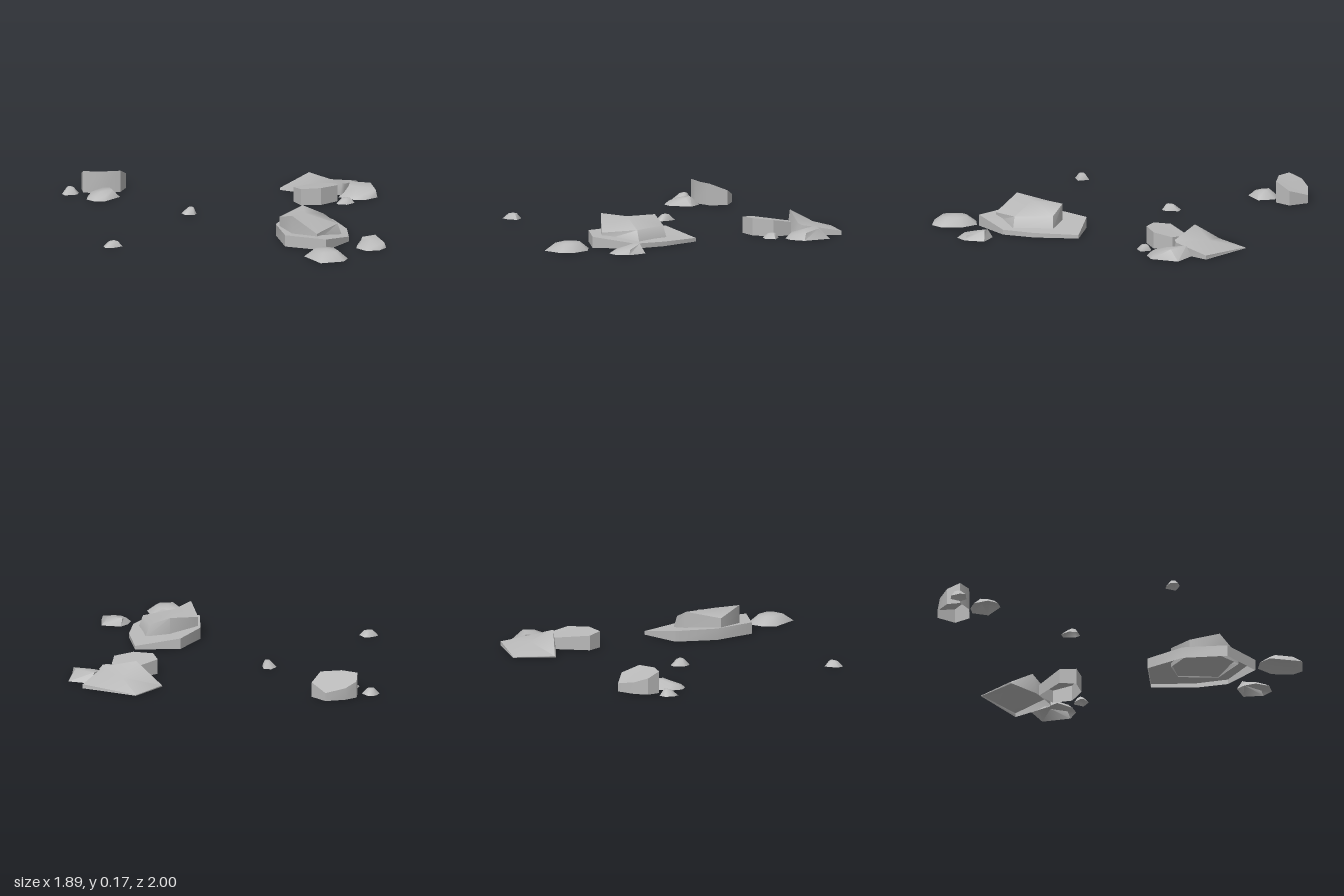
import * as THREE from 'three';
import { toCreasedNormals } from 'three/addons/utils/BufferGeometryUtils.js';

const stone = new THREE.MeshStandardMaterial({ color: 0xb9b9b9, side: THREE.DoubleSide });
stone.name = 'grey stone';

// Open-bottomed shell: a ring of walls from base [x, z] up to top [x, y, z], closed by a fan.
// Both rings run clockwise when seen from above; hub is the middle of the top fan.
function rock(name, base, top, hub, { floor = 0, crease = 1 } = {}) {
  const n = base.length;
  const pos = [];
  base.forEach(([x, z]) => pos.push(x, floor, z));
  top.forEach((p) => pos.push(...p));
  pos.push(...hub);
  const index = [];
  for (let i = 0; i < n; i++) {
    const j = (i + 1) % n;
    index.push(i, n + i, j, j, n + i, n + j);
    index.push(n + i, 2 * n, n + j);
  }
  const geo = new THREE.BufferGeometry();
  geo.setAttribute('position', new THREE.Float32BufferAttribute(pos, 3));
  geo.setIndex(index);
  const mesh = new THREE.Mesh(toCreasedNormals(geo, crease), stone);
  mesh.name = name;
  return mesh;
}

// Flat-topped rock: vertical walls with one height per corner
function slab(name, base, heights) {
  const top = base.map(([x, z], i) => [x, heights[i], z]);
  const hub = [0, 1, 2].map((k) => top.reduce((s, p) => s + p[k], 0) / top.length);
  return rock(name, base, top, hub, { crease: 0.6 });
}

// Rounded stone: the top ring shrinks toward an off-centre peak
function pebble(name, base, peak, shrink) {
  const [px, py, pz] = peak;
  const top = base.map(([x, z]) => [px + (x - px) * shrink, py * 0.85, pz + (z - pz) * shrink]);
  return rock(name, base, top, peak, { crease: 1.3 });
}

export function createModel() {
  const g = new THREE.Group();
  g.name = 'scatteredRocks';

  // Wide low slab with a thin lip, and the tilted boulder resting on it
  g.add(slab('wideSlab',
    [[0.37, 0.07], [0.64, 0.02], [0.71, 0.28], [0.71, 0.48], [0.56, 0.69], [0.32, 0.58], [0.28, 0.31]],
    [0.065, 0.022, 0.028, 0.03, 0.068, 0.07, 0.07]));
  g.add(rock('upperBoulder',
    [[0.45, 0.195], [0.6, 0.2], [0.67, 0.43], [0.51, 0.6], [0.365, 0.52], [0.3, 0.35]],
    [[0.45, 0.155, 0.195], [0.575, 0.105, 0.21], [0.645, 0.1, 0.43], [0.51, 0.08, 0.6],
      [0.365, 0.175, 0.52], [0.3, 0.125, 0.35]],
    [0.45, 0.157, 0.39], { floor: 0.03 }));

  // Two stones in front of the slab
  g.add(pebble('frontStone',
    [[0.46, 0.745], [0.545, 0.71], [0.64, 0.77], [0.68, 0.89], [0.65, 0.96], [0.51, 0.995], [0.42, 0.82]],
    [0.55, 0.055, 0.85], 0.55));
  g.add(rock('sideStone',
    [[0.79, 0.515], [0.91, 0.525], [0.925, 0.645], [0.88, 0.71], [0.8, 0.715], [0.745, 0.645], [0.755, 0.57]],
    [[0.785, 0.045, 0.55], [0.865, 0.055, 0.54], [0.915, 0.03, 0.635], [0.86, 0.022, 0.685],
      [0.815, 0.022, 0.685], [0.775, 0.025, 0.635], [0.78, 0.035, 0.575]],
    [0.83, 0.043, 0.61]));

  // Back cluster: tilted slab, blocky rock, faceted rock, pebble
  g.add(rock('tiltedSlab',
    [[0.5, -1], [0.84, -0.875], [0.75, -0.64], [0.725, -0.625], [0.55, -0.665], [0.37, -0.775]],
    [[0.5, 0.005, -0.998], [0.84, 0.025, -0.875], [0.755, 0.065, -0.65], [0.735, 0.075, -0.635],
      [0.54, 0.13, -0.69], [0.37, 0.01, -0.785]],
    [0.61, 0.058, -0.81]));
  g.add(slab('blockyRock',
    [[0.58, -0.66], [0.7, -0.605], [0.7, -0.485], [0.595, -0.4], [0.475, -0.4], [0.435, -0.495]],
    [0.07, 0.08, 0.1, 0.105, 0.1, 0.09]));
  g.add(rock('facetedRock',
    [[0.8, -0.765], [0.945, -0.735], [0.945, -0.56], [0.87, -0.505], [0.8, -0.51], [0.71, -0.58], [0.76, -0.68]],
    [[0.79, 0.06, -0.73], [0.91, 0.062, -0.675], [0.935, 0.045, -0.575], [0.86, 0.025, -0.53],
      [0.805, 0.025, -0.535], [0.745, 0.027, -0.585], [0.78, 0.05, -0.67]],
    [0.83, 0.052, -0.62]));
  g.add(pebble('clusterPebble',
    [[0.72, -0.475], [0.755, -0.49], [0.8, -0.44], [0.75, -0.395], [0.7, -0.41], [0.69, -0.43]],
    [0.75, 0.035, -0.45], 0.5));

  // Far cluster: tall sloped rock with two stones beside it
  g.add(slab('tallRock',
    [[-0.645, -0.97], [-0.55, -0.885], [-0.59, -0.785], [-0.715, -0.755], [-0.815, -0.785], [-0.82, -0.865], [-0.76, -0.925]],
    [0.05, 0.09, 0.132, 0.136, 0.133, 0.1, 0.072]));
  g.add(rock('farStone',
    [[-0.725, -0.745], [-0.655, -0.75], [-0.6, -0.665], [-0.695, -0.565], [-0.76, -0.565], [-0.805, -0.615], [-0.79, -0.705]],
    [[-0.7, 0.052, -0.7], [-0.66, 0.053, -0.69], [-0.645, 0.048, -0.65], [-0.695, 0.022, -0.595],
      [-0.75, 0.022, -0.59], [-0.78, 0.022, -0.62], [-0.77, 0.035, -0.67]],
    [-0.715, 0.042, -0.64]));
  g.add(pebble('farPebble',
    [[-0.93, -0.81], [-0.885, -0.825], [-0.84, -0.775], [-0.855, -0.735], [-0.93, -0.72], [-0.945, -0.755]],
    [-0.895, 0.043, -0.785], 0.4));

  // Lone pebbles
  g.add(pebble('middlePebble',
    [[-0.23, -0.31], [-0.185, -0.31], [-0.165, -0.235], [-0.18, -0.205], [-0.235, -0.205], [-0.255, -0.255]],
    [-0.19, 0.043, -0.245], 0.4));
  g.add(pebble('lonePebble',
    [[-0.73, 0.475], [-0.7, 0.46], [-0.655, 0.515], [-0.715, 0.555], [-0.76, 0.555], [-0.77, 0.51]],
    [-0.71, 0.038, 0.51], 0.45));

  return g;
}
